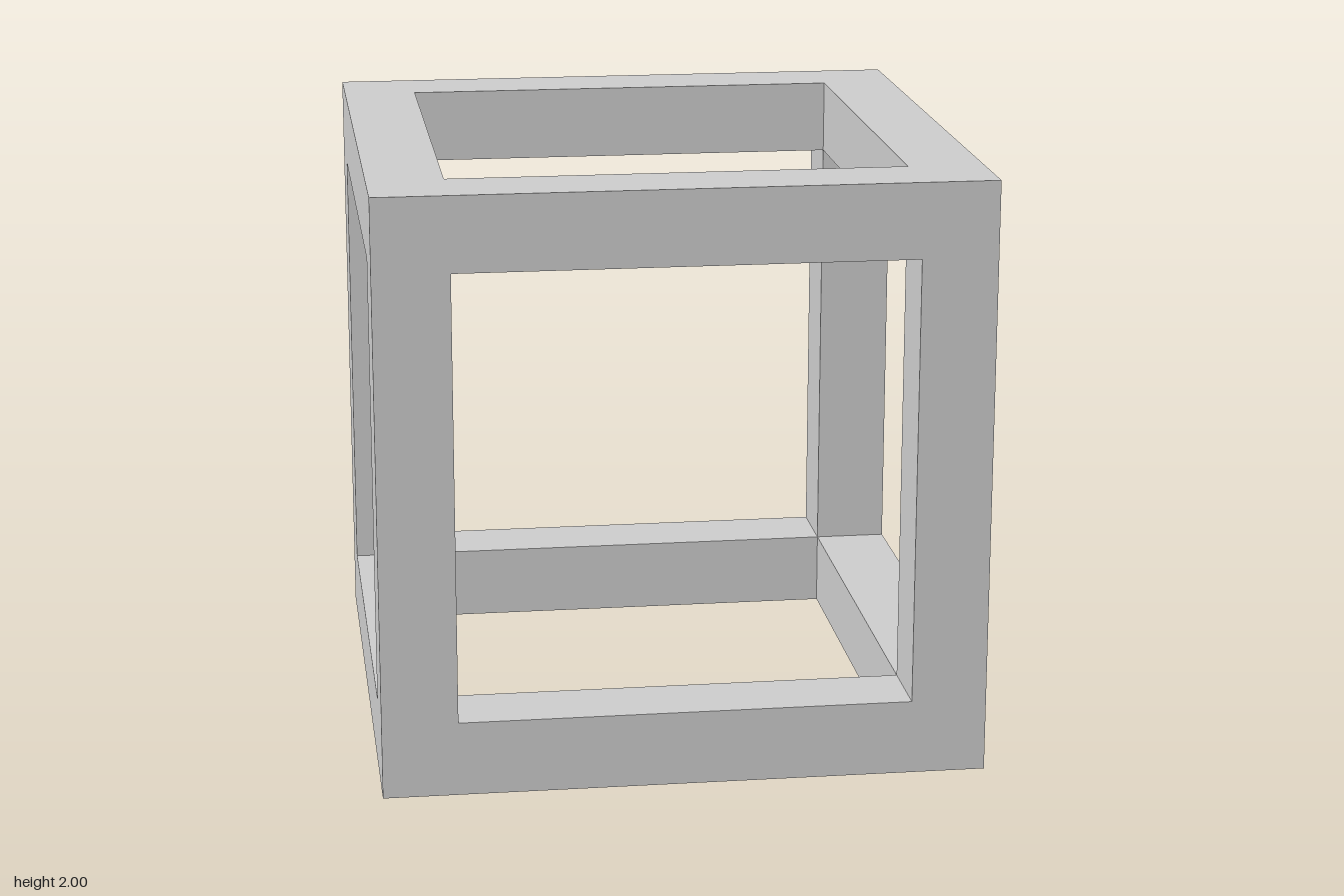
import * as THREE from 'three';
import { mergeGeometries } from 'three/addons/utils/BufferGeometryUtils.js';

const HALF = 1; // half the cube's edge
const BAR = 0.25; // thickness of the square bars
const INNER = HALF - BAR; // half the window opening

// Closed square outline, given half its side
function square(half, Type) {
  return new Type([[-1, -1], [1, -1], [1, 1], [-1, 1]]
    .map(([x, y]) => new THREE.Vector2(x * half, y * half)));
}

// One side of the cube, facing +z: outer face with a window and its four inner walls.
// Six of these close up into the twelve bars, with no faces hidden inside.
function windowSide() {
  const outline = square(HALF, THREE.Shape);
  outline.holes.push(square(INNER, THREE.Path));
  const parts = [new THREE.ShapeGeometry(outline).translate(0, 0, HALF)];
  for (let i = 0; i < 4; i++) {
    parts.push(new THREE.PlaneGeometry(2 * INNER, BAR)
      .rotateX(-Math.PI / 2)
      .translate(0, -INNER, HALF - BAR / 2)
      .rotateZ(i * Math.PI / 2));
  }
  return mergeGeometries(parts);
}

export function createModel() {
  const group = new THREE.Group();
  group.name = 'openCubeFrame';
  const material = new THREE.MeshStandardMaterial({ color: 0xcccccc });
  const geometry = windowSide();
  const quarter = Math.PI / 2;

  // Turn the same side to all six directions
  const sides = {
    frontFrame: [0, 0],
    leftFrame: [0, quarter],
    backFrame: [0, 2 * quarter],
    rightFrame: [0, -quarter],
    topFrame: [-quarter, 0],
    bottomFrame: [quarter, 0],
  };
  for (const [name, [rx, ry]] of Object.entries(sides)) {
    const side = new THREE.Mesh(geometry, material);
    side.name = name;
    side.rotation.set(rx, ry, 0);
    side.position.y = HALF;
    group.add(side);
  }
  return group;
}
